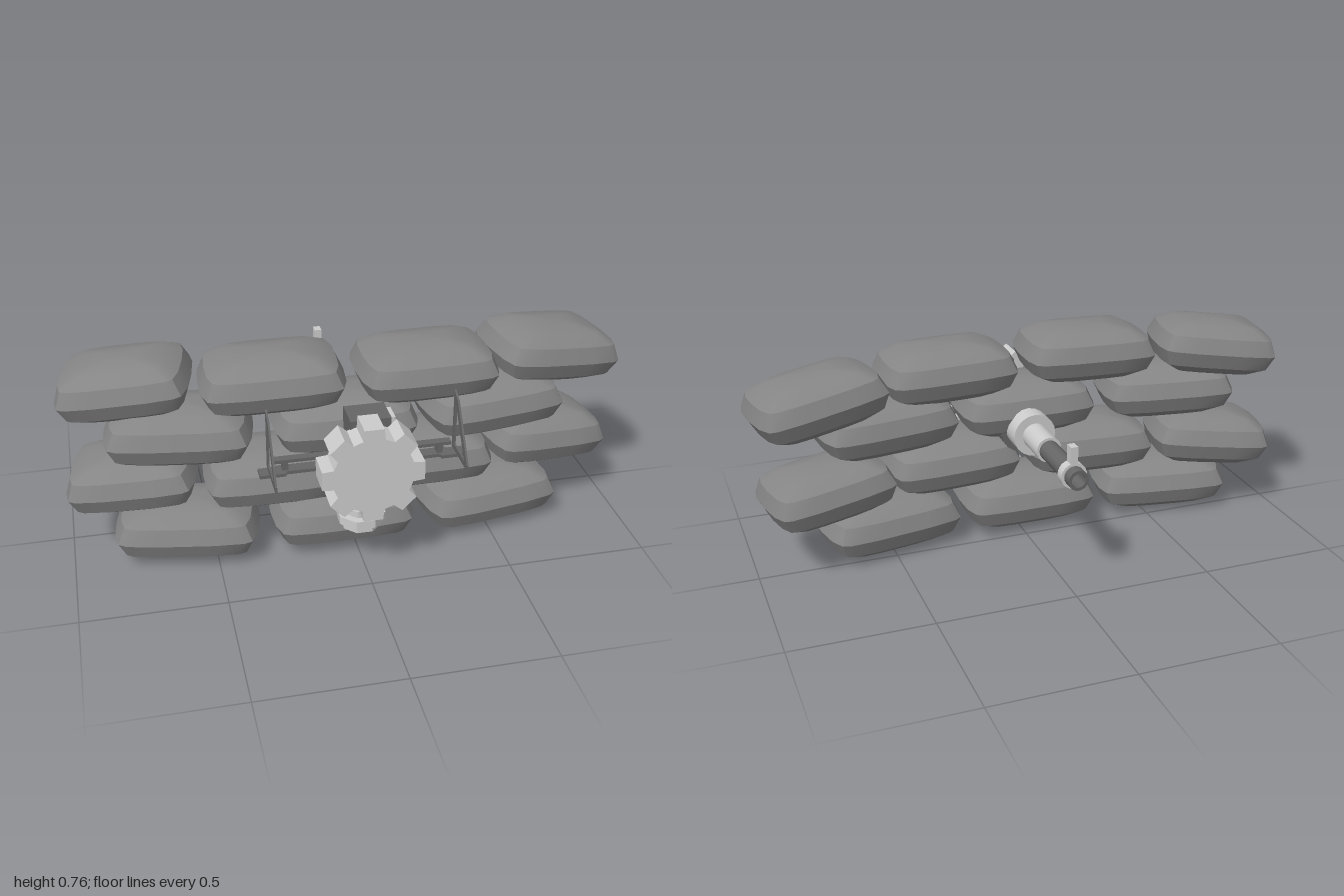
import * as THREE from 'three';
import { toCreasedNormals } from 'three/addons/utils/BufferGeometryUtils.js';

const material = (name, color) => {
  const m = new THREE.MeshStandardMaterial({ color });
  m.name = name;
  return m;
};

// Pillow with a squarish plan, swept through stacked loops
function sandbagGeometry() {
  const plan = [[1, 0], [0.98, 0.55], [0.91, 0.87], [0.8, 0.95], [0.4, 1], [0, 1]];
  const quarter = plan.slice(0, -1);
  const loop = [
    ...quarter,
    ...plan.slice(1).reverse().map(([x, z]) => [-x, z]),
    ...quarter.map(([x, z]) => [-x, -z]),
    ...plan.slice(1).reverse().map(([x, z]) => [x, -z]),
  ];
  // height, x scale, z scale
  const levels = [[-1, 0.3, 0.25], [-0.87, 0.65, 0.6], [-0.55, 0.9, 0.88], [0, 1, 1],
    [0.55, 0.9, 0.88], [0.87, 0.65, 0.6], [1, 0.3, 0.25]];
  const n = loop.length, pos = [], idx = [];
  for (const [y, sx, sz] of levels) for (const [x, z] of loop) pos.push(x * sx, y, z * sz);
  for (let l = 0; l < levels.length - 1; l++) {
    for (let i = 0; i < n; i++) {
      const a = l * n + i, b = l * n + (i + 1) % n;
      idx.push(a, a + n, b, b, a + n, b + n);
    }
  }
  const bottom = pos.length / 3, top = bottom + 1, last = (levels.length - 1) * n;
  pos.push(0, -1.01, 0, 0, 1.01, 0);
  for (let i = 0; i < n; i++) {
    const j = (i + 1) % n;
    idx.push(bottom, i, j, top, last + j, last + i);
  }
  const g = new THREE.BufferGeometry();
  g.setAttribute('position', new THREE.Float32BufferAttribute(pos, 3));
  g.setIndex(idx);
  g.scale(0.256, 0.103, 0.17);
  return toCreasedNormals(g, 0.5);
}

export function createModel() {
  const root = new THREE.Group();
  const cloth = material('sandbag grey', 0x858585);
  const steel = material('light steel', 0xcccccc);
  const dark = material('dark steel', 0x666666);

  const add = (name, geo, mat, x = 0, y = 0, z = 0, parent = root) => {
    const m = new THREE.Mesh(geo, mat);
    m.name = name;
    m.position.set(x, y, z);
    parent.add(m);
    return m;
  };
  const box = (name, mat, w, h, d, x, y, z) => add(name, new THREE.BoxGeometry(w, h, d), mat, x, y, z);
  // Cylinder lying along z between two depths
  const rod = (name, mat, r, z0, z1, y = 0.433, sides = 20, x = 0) => {
    const g = new THREE.CylinderGeometry(r, r, Math.abs(z1 - z0), sides).rotateX(Math.PI / 2);
    return add(name, toCreasedNormals(g, 0.6), mat, x, y, (z0 + z1) / 2);
  };

  // Curved wall of staggered sandbags: x, y, z, yaw, roll, length scale
  const bags = [
    [-0.59, 0.1, 0.125, -0.17, 0, 1], [-0.04, 0.105, 0.15, 0, 0, 1], [0.505, 0.1, 0.125, 0.17, 0, 1],
    [-0.765, 0.28, 0.06, -0.2, 0.1, 0.9], [-0.28, 0.29, 0.14, -0.04, 0.02, 0.97],
    [0.255, 0.3, 0.14, 0.03, -0.02, 0.97], [0.735, 0.285, 0.05, 0.18, -0.1, 0.9],
    [-0.6, 0.48, 0.12, -0.15, 0, 1], [-0.03, 0.48, 0.14, 0, 0, 1], [0.505, 0.48, 0.12, 0.15, 0, 1],
    [-0.768, 0.645, 0.06, -0.2, 0.12, 0.9], [-0.278, 0.655, 0.14, -0.04, 0.02, 0.98],
    [0.262, 0.643, 0.14, 0.03, -0.01, 0.97], [0.752, 0.62, 0.05, 0.17, -0.14, 0.93],
  ];
  const bagGeo = sandbagGeometry();
  const wall = new THREE.Group();
  wall.name = 'sandbagWall';
  root.add(wall);
  for (const [x, y, z, yaw, roll, s] of bags) {
    const bag = add('sandbag', bagGeo, cloth, x, y, z, wall);
    bag.rotation.set(0, yaw, roll, 'ZYX');
    bag.scale.x = s;
  }

  // Barrel with an open muzzle
  const profile = [[0.036, 0], [0.036, 0.3], [0.025, 0.3], [0.025, 0.2], [0, 0.2]];
  const barrelGeo = new THREE.LatheGeometry(profile.map(p => new THREE.Vector2(...p)), 20);
  barrelGeo.rotateX(-Math.PI / 2);
  add('barrel', toCreasedNormals(barrelGeo, 0.6), dark, 0, 0.433, -0.2);
  rod('barrelSleeve', steel, 0.046, 0.0, -0.23);
  rod('barrelBase', steel, 0.078, 0.02, -0.09);
  const collar = new THREE.Shape().absarc(0, 0, 0.046, 0, Math.PI * 2);
  collar.holes.push(new THREE.Path().absarc(0, 0, 0.034, 0, Math.PI * 2, true));
  add('muzzleCollar', new THREE.ExtrudeGeometry(collar, { depth: 0.035, bevelEnabled: false }),
    steel, 0, 0.433, -0.46);
  box('frontSight', steel, 0.026, 0.065, 0.035, 0, 0.504, -0.4425);

  // Breech housing behind the wall
  rod('breech', dark, 0.085, 0.0, 0.4, 0.42, 16, 0.01);
  box('breechHousing', dark, 0.14, 0.13, 0.11, 0.012, 0.525, 0.345);
  box('breechSidePlate', steel, 0.014, 0.12, 0.07, 0.089, 0.53, 0.362);

  // Toothed wheel
  const teeth = new THREE.Shape();
  for (let i = 0; i < 8; i++) {
    const a = i * Math.PI / 4;
    [[0.14, -0.27], [0.178, -0.19], [0.178, 0.19], [0.14, 0.27]].forEach(([r, da], k) => {
      const p = [r * Math.cos(a + da), r * Math.sin(a + da)];
      i + k === 0 ? teeth.moveTo(...p) : teeth.lineTo(...p);
    });
  }
  add('toothedWheel', new THREE.ExtrudeGeometry(teeth, { depth: 0.105, bevelEnabled: false }),
    steel, 0, 0.433, 0.395);

  // Pivot stack below the breech: radius, bottom, top
  const stack = [[0.03, 0.2, 0.36], [0.06, 0.18, 0.21], [0.088, 0.155, 0.185],
    [0.072, 0.13, 0.155], [0.038, 0.105, 0.13]];
  stack.forEach(([r, y0, y1], i) => {
    const g = new THREE.CylinderGeometry(r, r, y1 - y0, 8).rotateY(Math.PI / 8).toNonIndexed();
    g.computeVertexNormals();
    add(i ? 'pivotRing' : 'pivotPost', g, i === 4 ? dark : steel, 0, (y0 + y1) / 2, 0.315);
  });

  // Mirrored arms carrying pads and thin triangular sight frames
  const frame = new THREE.Shape([[0, 0], [0.17, 0], [0.17, 0.02], [0.04, 0.2], [0, 0.22]]
    .map(p => new THREE.Vector2(...p)));
  frame.holes.push(new THREE.Path([[0.02, 0.02], [0.02, 0.18], [0.14, 0.02]]
    .map(p => new THREE.Vector2(...p))));
  const frameGeo = new THREE.ExtrudeGeometry(frame, { depth: 0.007, bevelEnabled: false });
  frameGeo.rotateY(-Math.PI / 2);
  for (const s of [-1, 1]) {
    box('sideArm', dark, 0.24, 0.012, 0.03, s * 0.19, 0.435, 0.335);
    box('lowerArm', dark, 0.2, 0.012, 0.045, s * 0.2, 0.395, 0.335);
    box('armBracket', dark, 0.02, 0.05, 0.03, s * 0.27, 0.415, 0.335);
    box('armPad', dark, 0.09, 0.012, 0.05, s * 0.315, 0.395, 0.345);
    add('sightFrame', frameGeo, dark, s * 0.325 + 0.0035, 0.405, 0.32);
  }
  return root;
}
